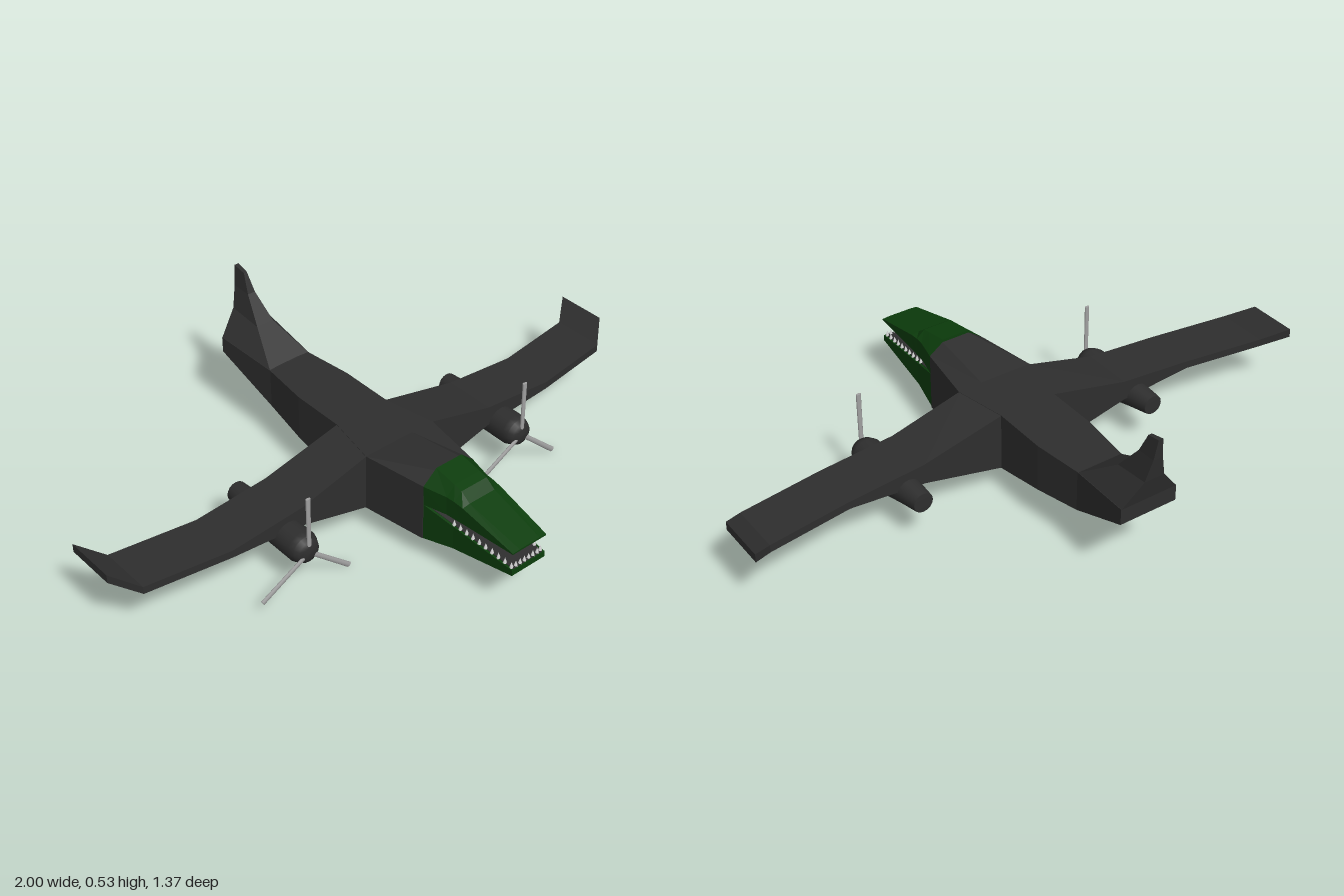
import * as THREE from 'three';

const mat = (name, color) => {
  const m = new THREE.MeshStandardMaterial({ color });
  m.name = name;
  return m;
};

// Faceted solid through equal-length rings of [x, y, z]; turned outward by its signed volume.
function loft(rings) {
  const n = rings[0].length;
  const tris = [];
  for (let i = 0; i < rings.length - 1; i++) {
    for (let j = 0; j < n; j++) {
      const k = (j + 1) % n;
      const [a, b, c, d] = [rings[i][j], rings[i][k], rings[i + 1][k], rings[i + 1][j]];
      tris.push([a, b, c], [a, c, d]);
    }
  }
  const first = rings[0], last = rings[rings.length - 1];
  for (let j = 1; j < n - 1; j++) {
    tris.push([first[0], first[j + 1], first[j]], [last[0], last[j], last[j + 1]]);
  }
  let volume = 0;
  for (const [a, b, c] of tris) {
    volume += a[0] * (b[1] * c[2] - b[2] * c[1]) + a[1] * (b[2] * c[0] - b[0] * c[2])
      + a[2] * (b[0] * c[1] - b[1] * c[0]);
  }
  if (volume < 0) tris.forEach(t => t.reverse());
  const g = new THREE.BufferGeometry();
  g.setAttribute('position', new THREE.Float32BufferAttribute(tris.flat(2), 3));
  g.computeVertexNormals();
  return g;
}

// Symmetric ring at depth z from right-hand half points [x, y], bottom to top.
const section = (z, ...half) => [
  ...half.map(([x, y]) => [x, y, z]),
  ...half.slice().reverse().map(([x, y]) => [-x, y, z]),
];

export function createModel() {
  const dark = mat('charcoal', 0x2e2e2e);
  const green = mat('darkGreen', 0x0c3d0c);
  const ivory = mat('toothWhite', 0xd0d0d0);
  const steel = mat('bladeGrey', 0xa0a0a0);

  const model = new THREE.Group();
  model.name = 'plane';
  const add = (name, geometry, material, parent = model) => {
    const mesh = new THREE.Mesh(geometry, material);
    mesh.name = name;
    parent.add(mesh);
    return mesh;
  };

  // Fuselage, nose joint to tail
  add('fuselage', loft([
    section(0.34, [0.10, 0.10], [0.10, 0.30], [0.05, 0.335]),
    section(0.12, [0.135, 0.10], [0.135, 0.30], [0.05, 0.301]),
    section(-0.06, [0.10, 0.10], [0.10, 0.30], [0.05, 0.301]),
    section(-0.25, [0.10, 0.137], [0.10, 0.30], [0.05, 0.301]),
    section(-0.42, [0.08, 0.16], [0.08, 0.30], [0.04, 0.301]),
    section(-0.65, [0.10, 0.265], [0.10, 0.32], [0.04, 0.321]),
  ]), dark);

  // Tail fin: front y, z, half width, then rear y, z, half width
  add('tailFin', loft([
    [0.298, -0.42, 0.08, 0.318, -0.65, 0.10],
    [0.385, -0.545, 0.032, 0.40, -0.669, 0.035],
    [0.47, -0.612, 0.014, 0.475, -0.68, 0.017],
    [0.535, -0.64, 0.006, 0.545, -0.687, 0.008],
  ].map(([fy, fz, fw, ry, rz, rw]) => [[fw, fy, fz], [rw, ry, rz], [-rw, ry, rz], [-fw, fy, fz]])), dark);

  // Upper jaw with raised brow
  add('upperJaw', loft([
    section(0.34, [0.098, 0.23], [0.10, 0.30], [0.05, 0.345]),
    section(0.42, [0.08, 0.234], [0.081, 0.30], [0.05, 0.331]),
    section(0.45, [0.078, 0.235], [0.079, 0.30], [0.05, 0.325]),
    section(0.485, [0.076, 0.237], [0.077, 0.296], [0.05, 0.30]),
    section(0.686, [0.067, 0.246], [0.067, 0.25], [0.04, 0.252]),
  ]), green);

  // Lower jaw
  const jaw = [[0.34, 0.098, 0.10, 0.23], [0.45, 0.078, 0.121, 0.204], [0.686, 0.066, 0.165, 0.185]];
  add('lowerJaw', loft(jaw.map(([z, w, y0, y1]) => section(z, [w, y0], [w, y1]))), green);

  // Dark mouth linings
  add('lowerMouthLining', loft(jaw.map(([z, w, , y]) =>
    section(z - 0.003, [w - 0.007, y - 0.002], [w - 0.007, y + 0.002]))), dark);
  add('upperMouthLining', loft([[0.341, 0.09, 0.23], [0.45, 0.071, 0.235], [0.683, 0.06, 0.246]].map(
    ([z, w, y]) => section(z, [w, y - 0.002], [w, y + 0.002]))), dark);

  // Teeth around the rim of the lower jaw
  const teeth = new THREE.Group();
  teeth.name = 'teeth';
  model.add(teeth);
  const toothShape = new THREE.ConeGeometry(0.008, 0.024, 6);
  const addTooth = (x, z) => {
    const t = (z - 0.45) / 0.236;
    add('tooth', toothShape, ivory, teeth).position.set(x, 0.204 - 0.019 * t + 0.008, z);
  };
  for (let i = 0; i < 10; i++) {
    const z = 0.445 + i * 0.0255;
    const x = 0.07 - 0.012 * i / 9;
    addTooth(x, z);
    addTooth(-x, z);
  }
  for (let i = 0; i < 6; i++) addTooth(-0.043 + i * 0.0172, 0.677);

  // Wings: front x, rear x, front z, rear z, bottom y, top y
  const wingStations = [
    [0.13, 0.095, 0.12, -0.06, 0.10, 0.30],
    [0.38, 0.38, 0.12, -0.06, 0.165, 0.235],
    [0.64, 0.64, 0.12, -0.06, 0.187, 0.213],
    [0.925, 0.925, 0.08, -0.10, 0.187, 0.213],
    [1.0, 1.0, 0.015, -0.16, 0.228, 0.257],
  ];
  const nacelleProfile = [
    [0, -0.14], [0.032, -0.14], [0.034, -0.138], [0.043, -0.06], [0.052, 0.0], [0.053, 0.18],
    [0.047, 0.198], [0.046, 0.2], [0.038, 0.215], [0.022, 0.222], [0, 0.224],
  ].map(([r, z]) => new THREE.Vector2(r, z));

  for (const s of [1, -1]) {
    const side = s > 0 ? 'left' : 'right';
    add(side + 'Wing', loft(wingStations.map(([fx, rx, fz, rz, y0, y1]) =>
      [[s * fx, y0, fz], [s * fx, y1, fz], [s * rx, y1, rz], [s * rx, y0, rz]])), dark);

    // Engine nacelle with rounded hub
    const engine = new THREE.Group();
    engine.name = side + 'Engine';
    engine.position.set(s * 0.436, 0.155, 0);
    model.add(engine);
    const nacelle = new THREE.LatheGeometry(nacelleProfile, 16);
    nacelle.rotateX(Math.PI / 2);
    const p = nacelle.attributes.position;
    for (let i = 0; i < p.count; i++) {
      p.setY(i, p.getY(i) + 0.012 * Math.max(0, -p.getZ(i)) / 0.14);
    }
    add('nacelle', nacelle, dark, engine);

    // Three-bladed propeller
    for (const degrees of [90, 208.5, 318]) {
      const geometry = new THREE.CylinderGeometry(0.009, 0.008, 0.185, 8);
      geometry.scale(1, 1, 0.55);
      geometry.translate(0, 0.1095, 0);
      const blade = add('propellerBlade', geometry, steel, engine);
      blade.position.z = 0.217;
      blade.rotation.z = THREE.MathUtils.degToRad(degrees - 90);
    }
  }
  return model;
}
